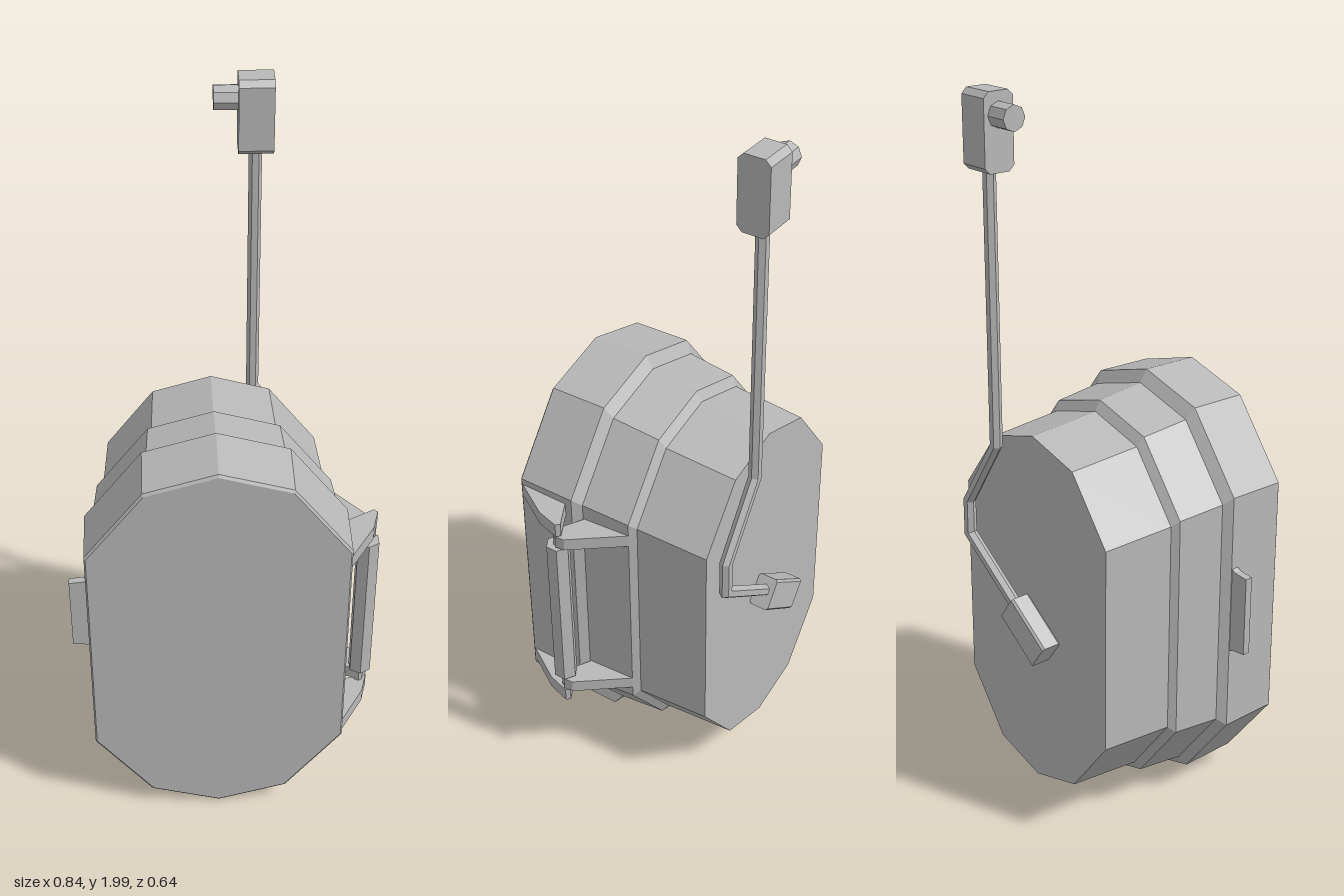
import * as THREE from 'three';

const grey = new THREE.MeshStandardMaterial({ color: 0xb8b8b8 });
grey.name = 'plain grey';

// Skins a list of convex rings and closes both ends, with flat facets.
function loft(rings) {
  const pos = [];
  const tri = (...pts) => pts.forEach((p) => pos.push(p.x, p.y, p.z));
  const n = rings[0].length;
  for (let i = 0; i < rings.length - 1; i++) {
    for (let j = 0; j < n; j++) {
      const k = (j + 1) % n;
      const a = rings[i][j], b = rings[i][k], c = rings[i + 1][k], d = rings[i + 1][j];
      tri(a, b, c);
      tri(a, c, d);
    }
  }
  const first = rings[0], last = rings[rings.length - 1];
  for (let j = 1; j < n - 1; j++) {
    tri(first[0], first[j + 1], first[j]);
    tri(last[0], last[j], last[j + 1]);
  }
  const g = new THREE.BufferGeometry();
  g.setAttribute('position', new THREE.Float32BufferAttribute(pos, 3));
  g.computeVertexNormals();
  return g;
}

function prism(points, depth) {
  const shape = new THREE.Shape(points.map(([x, y]) => new THREE.Vector2(x, y)));
  return new THREE.ExtrudeGeometry(shape, { depth, bevelEnabled: false });
}

// Plate with a plan outline given in x, z and a thickness in y.
function plate(points, thickness) {
  return prism(points.map(([x, z]) => [x, -z]), thickness).rotateX(-Math.PI / 2);
}

// Connector block with chamfered edges, w wide, h tall, d deep.
function block(w, h, d, c) {
  const a = d / 2, b = h / 2;
  const outline = [[a - c, -b], [a, -b + c], [a, b - c], [a - c, b],
    [-a + c, b], [-a, b - c], [-a, -b + c], [-a + c, -b]];
  return prism(outline, w).translate(0, 0, -w / 2).rotateY(Math.PI / 2);
}

// Cable of six sides along a bent path lying in a plane of constant z.
function cable(path, z, r) {
  const pts = path.map(([x, y]) => new THREE.Vector2(x, y));
  const normals = pts.slice(1).map((p, i) => {
    const t = p.clone().sub(pts[i]).normalize();
    return new THREE.Vector2(-t.y, t.x);
  });
  return loft(pts.map((p, i) => {
    const n0 = normals[Math.max(i - 1, 0)];
    const n1 = normals[Math.min(i, normals.length - 1)];
    const m = n0.clone().add(n1).normalize();
    m.divideScalar(m.dot(n0));
    return Array.from({ length: 6 }, (_, k) => {
      const a = (k * Math.PI) / 3;
      const u = Math.cos(a) * r;
      return new THREE.Vector3(p.x + m.x * u, p.y + m.y * u, z + Math.sin(a) * r);
    });
  }));
}

export function createModel() {
  const model = new THREE.Group();
  const add = (name, geometry, x = 0, y = 0, z = 0) => {
    const m = new THREE.Mesh(geometry, grey);
    m.name = name;
    m.position.set(x, y, z);
    model.add(m);
    return m;
  };

  // Ten-sided case: one outline scaled in steps from back to front
  const outline = [[0.348, -0.342], [0.348, 0.342], [0.192, 0.548], [0, 0.604],
    [-0.192, 0.548], [-0.348, 0.342], [-0.348, -0.342], [-0.192, -0.548],
    [0, -0.604], [0.192, -0.548]];
  const steps = [[-0.246, 0.846], [-0.035, 0.874], [-0.018, 0.92],
    [0.123, 0.947], [0.145, 1.003], [0.312, 0.998], [0.317, 0.985]];
  add('case', loft(steps.map(([z, s]) =>
    outline.map(([x, y]) => new THREE.Vector3(x * s, y * s, z)))), -0.022, 0.612, 0);

  // Tapered side latch
  add('latch', prism([[-0.36, 0.5], [-0.36, 0.755], [-0.382, 0.742], [-0.424, 0.738],
    [-0.424, 0.512], [-0.382, 0.508]].reverse(), 0.021), 0, 0, 0.147);

  // Hinge: front and rear arms at top and bottom, around a pin with a grip
  const frontArm = [[0.31, 0.315], [0.324, 0.312], [0.392, 0.2], [0.41, 0.135],
    [0.4, 0.125], [0.328, 0.165], [0.31, 0.165]];
  const rearArm = [[0.29, -0.018], [0.298, -0.018], [0.405, 0.113], [0.408, 0.14],
    [0.385, 0.16], [0.3, 0.115]].reverse();
  for (const y of [0.895, 0.287]) add('frontHingeArm', plate(frontArm.slice().reverse(), 0.04), 0, y, 0);
  for (const y of [0.855, 0.33]) add('rearHingeArm', plate(rearArm.slice().reverse(), 0.036), 0, y, 0);
  const flatCylinder = (r, h, sides) => new THREE.CylinderGeometry(r, r, h, sides).toNonIndexed();
  const facet = (g) => { g.computeVertexNormals(); return g; };
  add('hingePin', facet(flatCylinder(0.013, 0.62, 6)), 0.386, 0.612, 0.148);
  add('hingeGrip', facet(flatCylinder(0.033, 0.475, 6)), 0.387, 0.612, 0.148);

  // Cable running up from the back of the case
  add('cable', cable([[0.0, 0.609], [0.225, 0.77], [0.225, 0.87], [0.095, 1.07], [0.095, 1.82]],
    -0.276, 0.017));

  // Lower connector, tilted along the cable
  const lower = add('lowerConnector', block(0.165, 0.09, 0.058, 0.006), -0.037, 0.575, -0.276);
  lower.rotation.z = Math.atan2(0.161, 0.225);

  // Upper connector with its round stub
  add('upperConnector', block(0.09, 0.2, 0.088, 0.015), 0.095, 1.9, -0.276);
  add('connectorStub', facet(flatCylinder(0.033, 0.08, 8).rotateZ(Math.PI / 2)), 0.028, 1.942, -0.276);

  // Show faces of the thin hinge arms and latch with outward winding
  return model;
}
